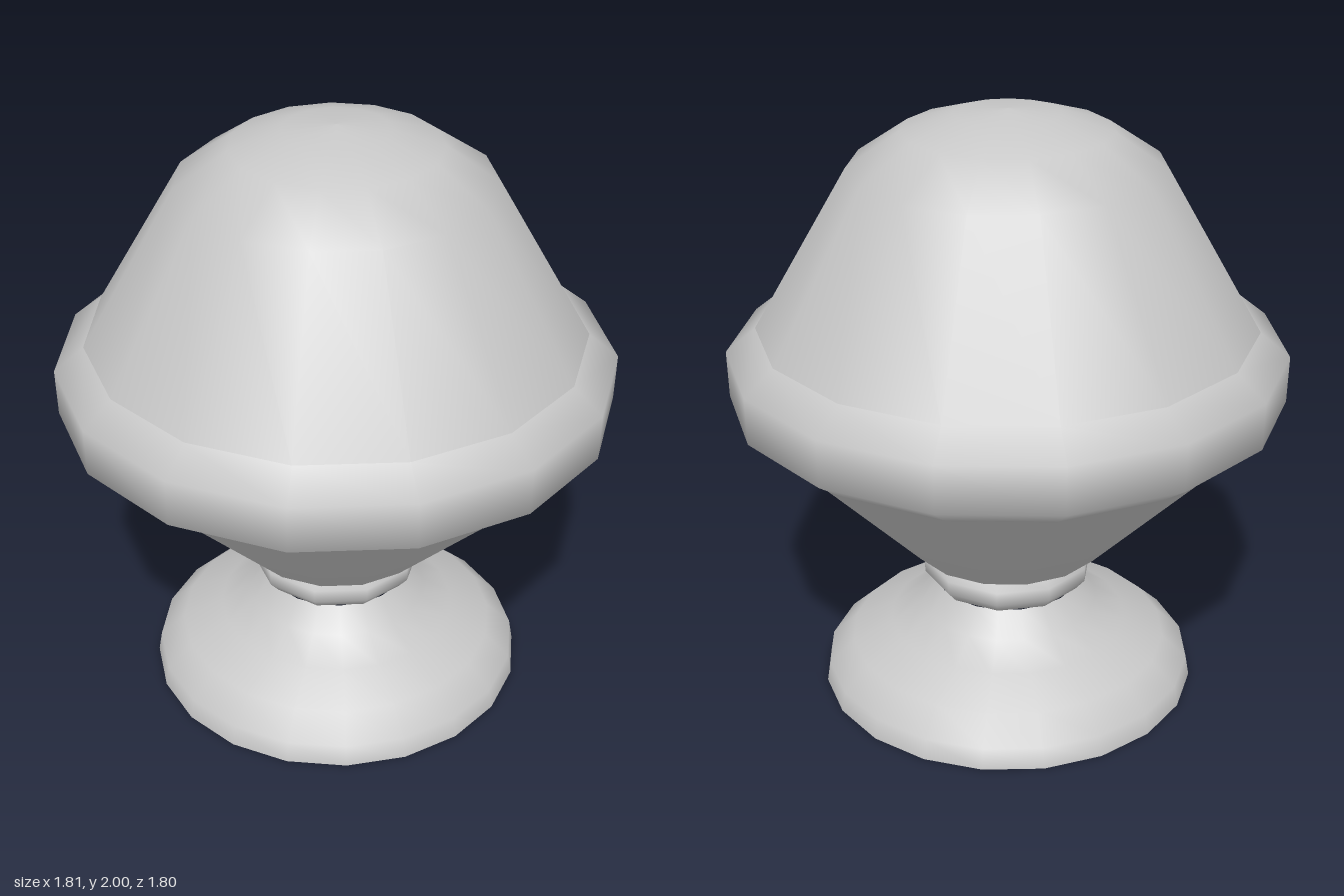
import * as THREE from 'three';

export function createModel() {
  const group = new THREE.Group();
  const grey = new THREE.MeshStandardMaterial({ color: 0xc8c8c8 });
  grey.name = 'light grey';

  // Turned part from a bottom-to-top profile of [radius, height]
  const turn = (name, profile, sides, start = 0) => {
    const points = profile.map(([r, y]) => new THREE.Vector2(r, y));
    const mesh = new THREE.Mesh(new THREE.LatheGeometry(points, sides, start), grey);
    mesh.name = name;
    mesh.position.z = -0.008;
    group.add(mesh);
    return mesh;
  };
  const quarter = Math.PI / 2;

  // Flared foot with a flat underside
  turn('foot', [[0.637, 0], [0.625, 0.07], [0.54, 0.15], [0.405, 0.21], [0.305, 0.28], [0.245, 0.36]], 20, quarter);
  const underside = new THREE.Mesh(new THREE.CircleGeometry(0.637, 20), grey);
  underside.name = 'footUnderside';
  underside.rotation.x = quarter;
  underside.position.z = -0.008;
  group.add(underside);

  // Rounded neck collar
  turn('neckCollar', [[0.2, 0.36], [0.255, 0.362], [0.287, 0.4], [0.287, 0.445], [0.255, 0.478], [0.2, 0.48]], 10, quarter);

  // Fifteen-sided knob: cone, rim and dome
  turn('lowerCone', [[0, 0.48], [0.245, 0.48], [0.33, 0.505], [0.785, 0.98]], 15);
  turn('rim', [[0.785, 0.98], [0.905, 1.065], [0.908, 1.22], [0.81, 1.3]], 15);
  turn('dome', [[0.81, 1.3], [0.505, 1.82], [0.335, 1.935], [0.17, 1.985], [0, 2]], 15);

  return group;
}
